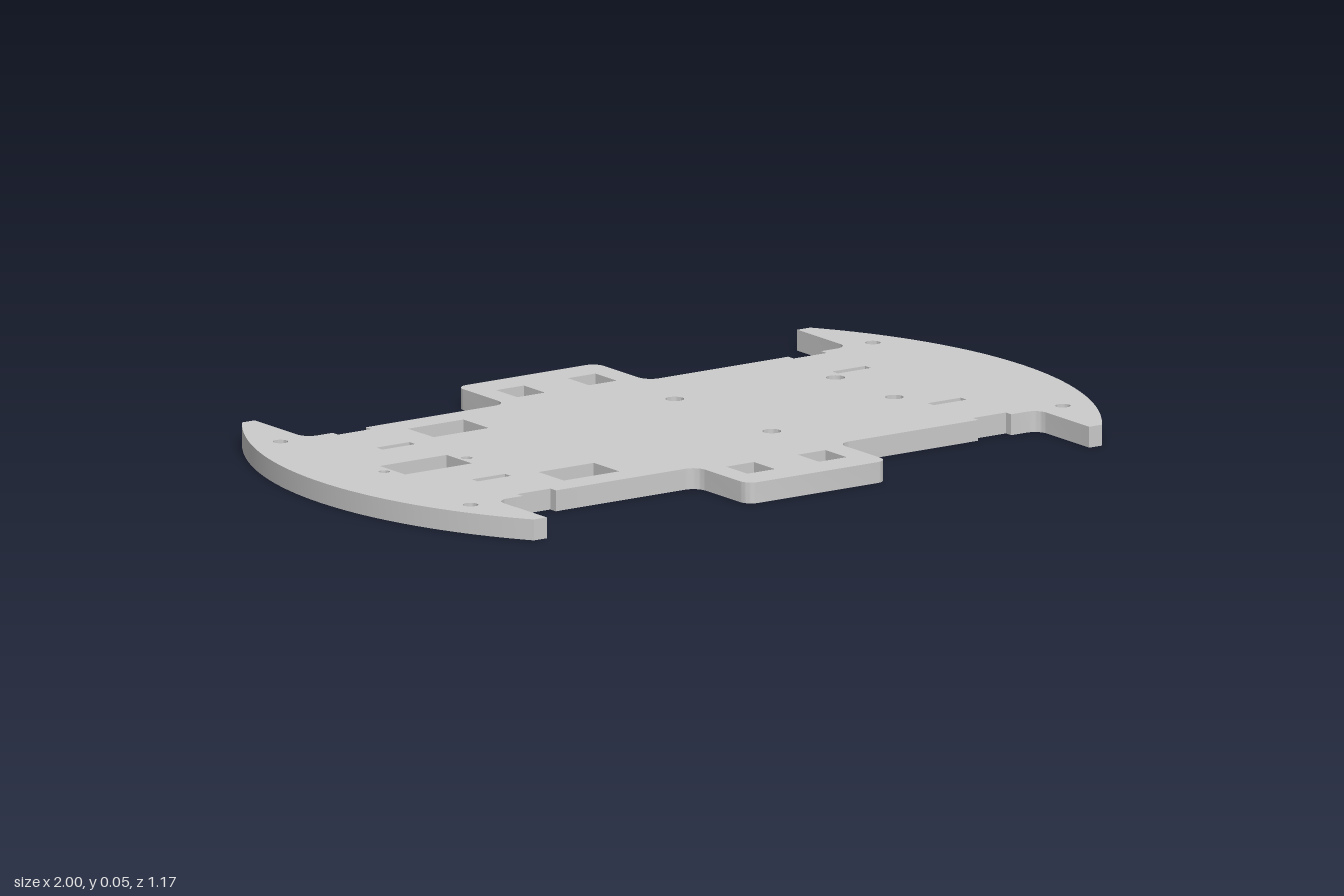
import * as THREE from 'three';
import { toCreasedNormals } from 'three/addons/utils/BufferGeometryUtils.js';

const THICKNESS = 0.05;
const HALF_DEPTH = 0.587;
const BODY = 0.382; // half depth of the main body

// Points along an arc, angles in degrees
function arc(cx, cy, r, from, to, steps) {
  return Array.from({ length: steps + 1 }, (_, i) => {
    const a = THREE.MathUtils.degToRad(from + ((to - from) * i) / steps);
    return [cx + r * Math.cos(a), cy + r * Math.sin(a)];
  });
}

// One quarter of the outline, from the end of the plate to its middle
function quarterOutline() {
  const tip = THREE.MathUtils.radToDeg(Math.asin(HALF_DEPTH));
  return [
    ...arc(0, 0, 1, 0, tip, 24), // bumper curve
    [0.773, HALF_DEPTH],
    ...arc(0.741, BODY + 0.032, 0.032, 0, -90, 8), // wheel well corner
    [0.696, BODY], [0.696, 0.36], [0.602, 0.36], [0.602, BODY], // edge notch
    ...arc(0.234, BODY + 0.034, 0.034, 270, 180, 8), // tab root
    ...arc(0.17, HALF_DEPTH - 0.03, 0.03, 0, 90, 8), // tab corner
  ];
}

function rectHole(x0, x1, y0, y1) {
  return new THREE.Path([[x0, y0], [x1, y0], [x1, y1], [x0, y1]].map(p => new THREE.Vector2(...p)));
}

function roundHole(x, y, r) {
  return new THREE.Path().absarc(x, y, r, 0, Math.PI * 2, true);
}

export function createModel() {
  // Mirror the quarter into a closed outline
  const q = quarterOutline();
  const left = q.map(([x, y]) => [-x, y]).reverse();
  const upper = [...q, ...left];
  const lower = upper.slice(1, -1).map(([x, y]) => [x, -y]).reverse();
  const shape = new THREE.Shape([...upper, ...lower].map(p => new THREE.Vector2(...p)));

  // Openings repeated on both long sides
  for (const s of [-1, 1]) {
    shape.holes.push(
      rectHole(-0.143, -0.064, s * 0.42, s * 0.505), // tab windows
      rectHole(0.061, 0.14, s * 0.42, s * 0.505),
      rectHole(-0.53, -0.373, s * 0.211, s * 0.313), // sensor windows
      rectHole(-0.698, -0.604, s * 0.18, s * 0.204), // motor bracket slots
      rectHole(0.601, 0.695, s * 0.18, s * 0.204),
      roundHole(-0.845, s * BODY, 0.018), // corner screw holes
      roundHole(0.843, s * BODY, 0.018),
      roundHole(0.146, s * 0.195, 0.022), // middle screw holes
    );
  }

  // Single openings
  shape.holes.push(
    rectHole(-0.797, -0.607, -0.051, 0.051), // servo window and its screws
    roundHole(-0.82, 0, 0.013),
    roundHole(-0.585, 0, 0.013),
    roundHole(0.573, 0.151, 0.022), // caster screw holes
    roundHole(0.573, -0.085, 0.022),
  );

  // Lay the plate flat on the ground
  const geometry = new THREE.ExtrudeGeometry(shape, { depth: THICKNESS, bevelEnabled: false, curveSegments: 24 });
  geometry.rotateX(-Math.PI / 2);

  const plate = new THREE.Mesh(
    toCreasedNormals(geometry, Math.PI / 6),
    new THREE.MeshStandardMaterial({ color: 0xcccccc }),
  );
  plate.name = 'chassisPlate';

  const group = new THREE.Group();
  group.name = 'robotChassis';
  group.add(plate);
  return group;
}
